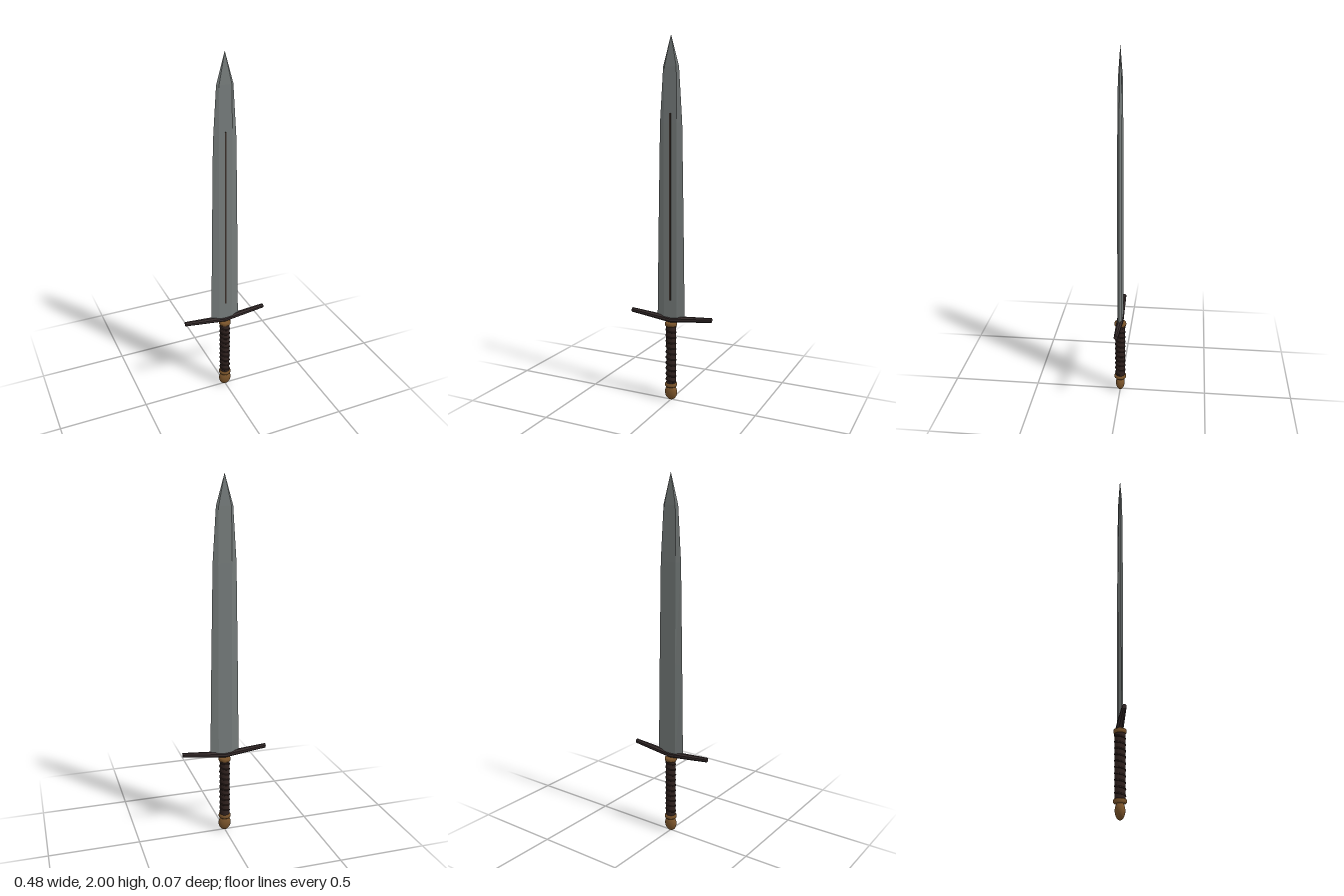
import * as THREE from 'three';

const steel = new THREE.MeshStandardMaterial({ color: 0x757b7a });
const darkIron = new THREE.MeshStandardMaterial({ color: 0x352b2b });
const leather = new THREE.MeshStandardMaterial({ color: 0x30221f });
const brass = new THREE.MeshStandardMaterial({ color: 0x79532a });
const groove = new THREE.MeshStandardMaterial({ color: 0x392d27 });
steel.name = 'steel';
darkIron.name = 'darkIron';
leather.name = 'leather';
brass.name = 'brass';
groove.name = 'groove';

function flat(geometry) {
  const g = geometry.index ? geometry.toNonIndexed() : geometry;
  g.computeVertexNormals();
  return g;
}

// Six-sided blade lofted from sections: [height, half width, half flat, half thickness]
function bladeGeometry() {
  const sections = [
    [0.465, 0.083, 0.038, 0.013],
    [1.0, 0.075, 0.038, 0.013],
    [1.55, 0.065, 0.038, 0.012],
    [1.84, 0.046, 0.034, 0.009],
    [2.0, 0.0005, 0.0003, 0.0005],
  ];
  const rings = sections.map(([y, w, f, t]) => [
    [w, y, 0], [f, y, t], [-f, y, t], [-w, y, 0], [-f, y, -t], [f, y, -t],
  ]);
  const pos = [];
  for (let i = 0; i < rings.length - 1; i++) {
    for (let j = 0; j < 6; j++) {
      const k = (j + 1) % 6;
      const a = rings[i][j], b = rings[i][k], c = rings[i + 1][k], d = rings[i + 1][j];
      pos.push(...b, ...a, ...d, ...b, ...d, ...c);
    }
  }
  // Close the base
  const base = rings[0];
  for (let j = 1; j < 5; j++) pos.push(...base[0], ...base[j], ...base[j + 1]);
  const g = new THREE.BufferGeometry();
  g.setAttribute('position', new THREE.Float32BufferAttribute(pos, 3));
  return flat(g);
}

// Eight-sided bar, thicker in the middle, its arms rising outward
function guardGeometry() {
  const g = new THREE.CylinderGeometry(1, 1, 0.484, 8, 2, false, Math.PI / 8);
  g.rotateZ(Math.PI / 2);
  const p = g.attributes.position;
  for (let i = 0; i < p.count; i++) {
    const s = Math.abs(p.getX(i)) / 0.242;
    p.setY(i, 0.47 + 0.025 * s + p.getY(i) * (0.018 - 0.005 * s));
    p.setZ(i, p.getZ(i) * (0.02 - 0.008 * s));
  }
  return flat(g);
}

export function createModel() {
  const model = new THREE.Group();
  model.name = 'sword';
  const add = (name, geometry, material, y = 0) => {
    const mesh = new THREE.Mesh(geometry, material);
    mesh.name = name;
    mesh.position.y = y;
    model.add(mesh);
    return mesh;
  };

  add('blade', bladeGeometry(), steel);
  const line = add('bladeGroove', new THREE.BoxGeometry(0.009, 1.02, 0.004), groove, 1.09);
  line.position.z = 0.0125;
  add('crossguard', guardGeometry(), darkIron);

  // Grip with a spiral binding
  add('grip', new THREE.CylinderGeometry(0.027, 0.027, 0.35, 20), leather, 0.265);
  const turns = 10;
  const points = [];
  for (let i = 0; i <= turns * 12; i++) {
    const a = (i / 12) * Math.PI * 2;
    const y = 0.108 + (0.32 * i) / (turns * 12);
    points.push(new THREE.Vector3(Math.cos(a) * 0.0265, y, Math.sin(a) * 0.0265));
  }
  add('gripBinding', new THREE.TubeGeometry(new THREE.CatmullRomCurve3(points), 240, 0.0045, 6), leather);

  // Collars at both ends of the grip
  for (const [name, y] of [['upperCollar', 0.443], ['lowerCollar', 0.09]]) {
    const profile = [[0, -0.011], [0.03, -0.011], [0.034, -0.006], [0.034, 0.006], [0.03, 0.011], [0, 0.011]];
    add(name, new THREE.LatheGeometry(profile.map(([x, h]) => new THREE.Vector2(x, h)), 24), brass, y);
  }

  // Egg-shaped pommel, flattened front to back
  const pommel = add('pommel', new THREE.SphereGeometry(1, 24, 16), brass, 0.045);
  pommel.scale.set(0.036, 0.045, 0.026);

  return model;
}
